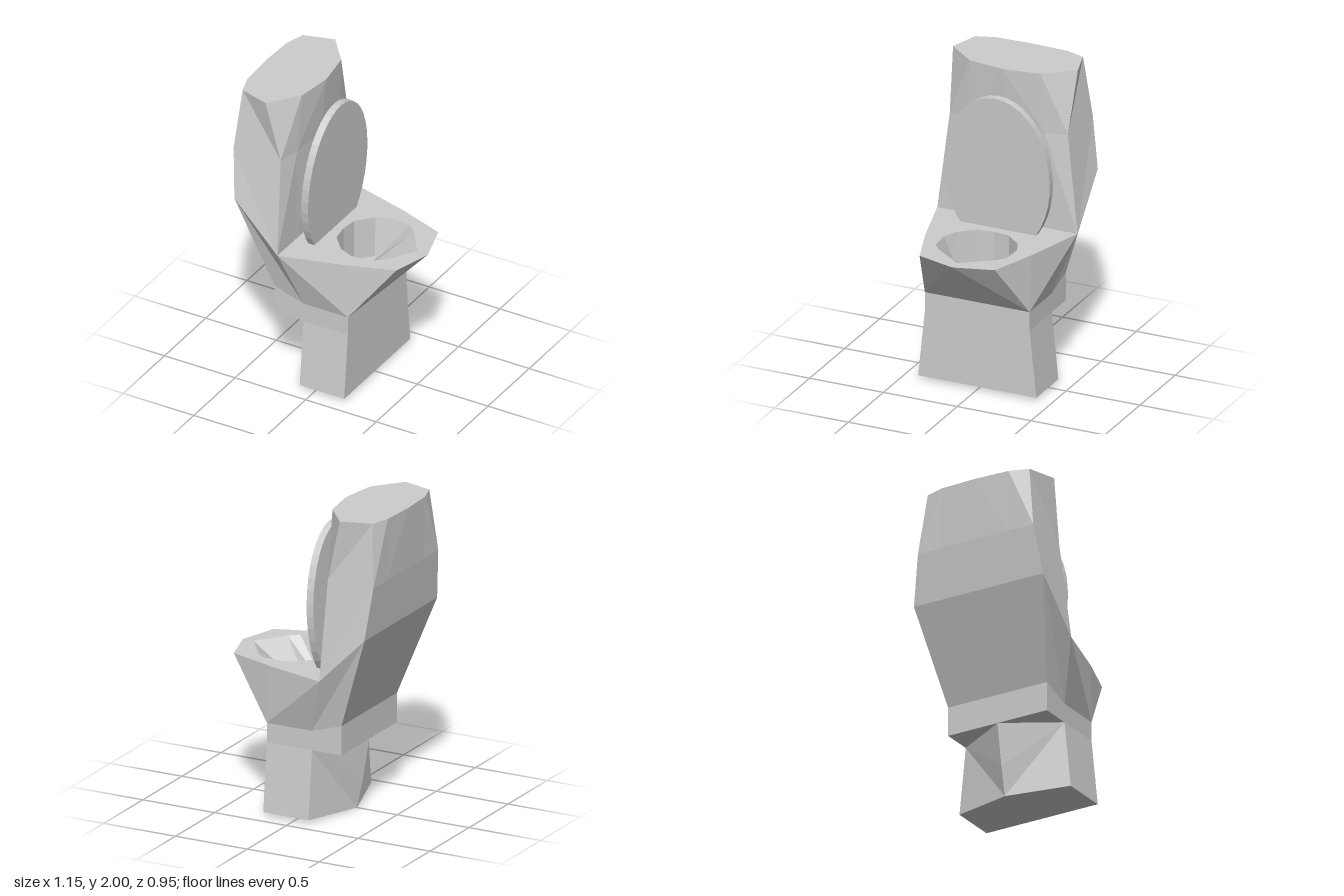
import * as THREE from 'three';

const grey = new THREE.MeshStandardMaterial({ color: 0xcccccc, flatShading: true });
grey.name = 'porcelain grey';

const V = (x, y, z) => new THREE.Vector3(x, y, z);
const mid = (p) => V(p.x, p.y, 0);
const flip = (p) => V(p.x, p.y, -p.z);

// Faceted shell from the polygons of its +z half, mirrored across z.
// Every face is turned away from (or, for a hollow, towards) the point `ref`.
function shell(name, halfFaces, ref, hollow = false) {
  const out = [];
  const add = (a, b, c) => {
    const n = b.clone().sub(a).cross(c.clone().sub(a));
    const away = a.clone().add(b).add(c).divideScalar(3).sub(ref);
    const tri = (n.dot(away) < 0) !== hollow ? [a, c, b] : [a, b, c];
    tri.forEach((p) => out.push(p.x, p.y, p.z));
  };
  for (const f of halfFaces) {
    for (let i = 1; i < f.length - 1; i++) {
      add(f[0], f[i], f[i + 1]);
      add(flip(f[0]), flip(f[i]), flip(f[i + 1]));
    }
  }
  const g = new THREE.BufferGeometry();
  g.setAttribute('position', new THREE.Float32BufferAttribute(out, 3));
  g.computeVertexNormals();
  const mesh = new THREE.Mesh(g, grey);
  mesh.name = name;
  return mesh;
}

// Corners shared by neighbouring parts
const RIM = 0.96;
const rimBack = V(-0.215, RIM, 0.475), rimSide = V(0.2, RIM, 0.36);
const rimFront = V(0.5, RIM, 0.255), rimTip = V(0.575, RIM, 0);
const tankBack = V(-0.525, 1.27, 0.465);
const neckBack = V(-0.305, 0.65, 0.355), neckLow = V(-0.305, 0.46, 0.355);
const waistBack = V(-0.1, 0.585, 0.355), waistFront = V(0.215, 0.585, 0.355);
const baseBack = V(-0.1, 0.46, 0.355), baseFront = V(0.215, 0.46, 0.355);

// Half outline of the bowl opening, from back to front tip
const opening = [[-0.025, 0], [-0.01, 0.107], [0.08, 0.21], [0.17, 0.247], [0.305, 0.24], [0.365, 0.187], [0.5, 0]];

function createTank() {
  const top = [V(-0.575, 2, 0), V(-0.565, 2, 0.24), V(-0.525, 2, 0.365), V(-0.33, 2, 0.423), V(-0.18, 2, 0.24), V(-0.145, 2, 0)];
  const waist = [V(-0.56, 1.6, 0), V(-0.56, 1.6, 0.24), V(-0.56, 1.6, 0.415), V(-0.235, 1.6, 0.4), V(-0.2, 1.6, 0.26), V(-0.185, 1.6, 0)];
  const foot = [mid(tankBack), V(-0.525, 1.27, 0.24), tankBack, rimBack, V(-0.213, RIM, 0.25), V(-0.21, RIM, 0)];
  const faces = [top];
  for (const [u, l] of [[top, waist], [waist, foot]]) {
    for (let i = 0; i < 5; i++) {
      faces.push(i < 3 ? [u[i], u[i + 1], l[i + 1], l[i]] : [u[i + 1], l[i + 1], l[i], u[i]]);
    }
  }
  return shell('tank', faces, V(-0.36, 1.5, 0));
}

function createBowl() {
  return shell('bowl', [
    [rimBack, waistBack, waistFront],
    [rimBack, waistFront, rimSide],
    [rimSide, waistFront, rimFront],
    [waistFront, rimTip, rimFront],
    [waistFront, mid(waistFront), rimTip],
    [tankBack, neckBack, waistBack, rimBack],
    [tankBack, neckBack, mid(neckBack), mid(tankBack)],
    [neckBack, neckLow, baseBack, waistBack],
    [neckBack, neckLow, mid(neckLow), mid(neckBack)],
    [waistBack, baseBack, baseFront, waistFront],
    [waistFront, baseFront, mid(baseFront), mid(waistFront)],
    [neckLow, baseBack, mid(neckLow)],
  ], V(0, 0.8, 0));
}

function createPedestal() {
  const footBack = V(-0.1, 0.02, 0.4), footFront = V(0.215, 0.02, 0.4);
  const heel = V(-0.22, 0, 0), ridge = V(-0.26, 0.19, 0);
  return shell('pedestal', [
    [baseFront, footFront, mid(footFront), mid(baseFront)],
    [baseBack, footBack, footFront, baseFront],
    [baseBack, ridge, mid(neckLow)],
    [baseBack, footBack, heel, ridge],
    [footBack, footFront, mid(footFront), heel],
  ], V(0, 0.3, 0));
}

// Flat rim with the opening cut out
function createRim() {
  const loop = (half) => [...half, ...half.slice().reverse().map(([x, z]) => [x, -z])]
    .filter(([x, z], i, all) => z !== 0 || all.findIndex((p) => p[0] === x && p[1] === 0) === i)
    .map(([x, z]) => new THREE.Vector2(x, z));
  const shape = new THREE.Shape(loop([rimBack, rimSide, rimFront, rimTip].map((p) => [p.x, p.z])));
  shape.holes.push(new THREE.Path(loop(opening)));
  const mesh = new THREE.Mesh(new THREE.ShapeGeometry(shape).rotateX(-Math.PI / 2), grey);
  mesh.name = 'rim';
  mesh.position.y = RIM;
  return mesh;
}

// Upright back walls, small flat floor and a slope rising to the front
function createBasin() {
  const deep = 0.68;
  const t = opening.map(([x, z]) => V(x, RIM, z));
  const b = opening.map(([x, z]) => V(x, deep, z));
  const corner = V(0.1, deep, 0.17);
  return shell('basin', [
    [t[0], t[1], b[1], b[0]],
    [t[1], t[2], b[2], b[1]],
    [corner, b[2], t[2], t[3], t[4], t[5]],
    [b[0], b[1], b[2], corner, mid(corner)],
    [mid(corner), corner, t[5], t[6]],
  ], V(0.15, 0.9, 0), true);
}

// Raised oval lid, leaning slightly
function createLid() {
  const g = new THREE.CylinderGeometry(1, 1, 0.047, 40).rotateZ(-Math.PI / 2).scale(1, 0.52, 0.358);
  const mesh = new THREE.Mesh(g, grey);
  mesh.name = 'lid';
  mesh.position.set(-0.088, 1.323, 0);
  mesh.rotation.z = -0.042;
  return mesh;
}

export function createModel() {
  const model = new THREE.Group();
  model.name = 'toilet';
  model.add(createTank(), createBowl(), createPedestal(), createRim(), createBasin(), createLid());
  return model;
}
